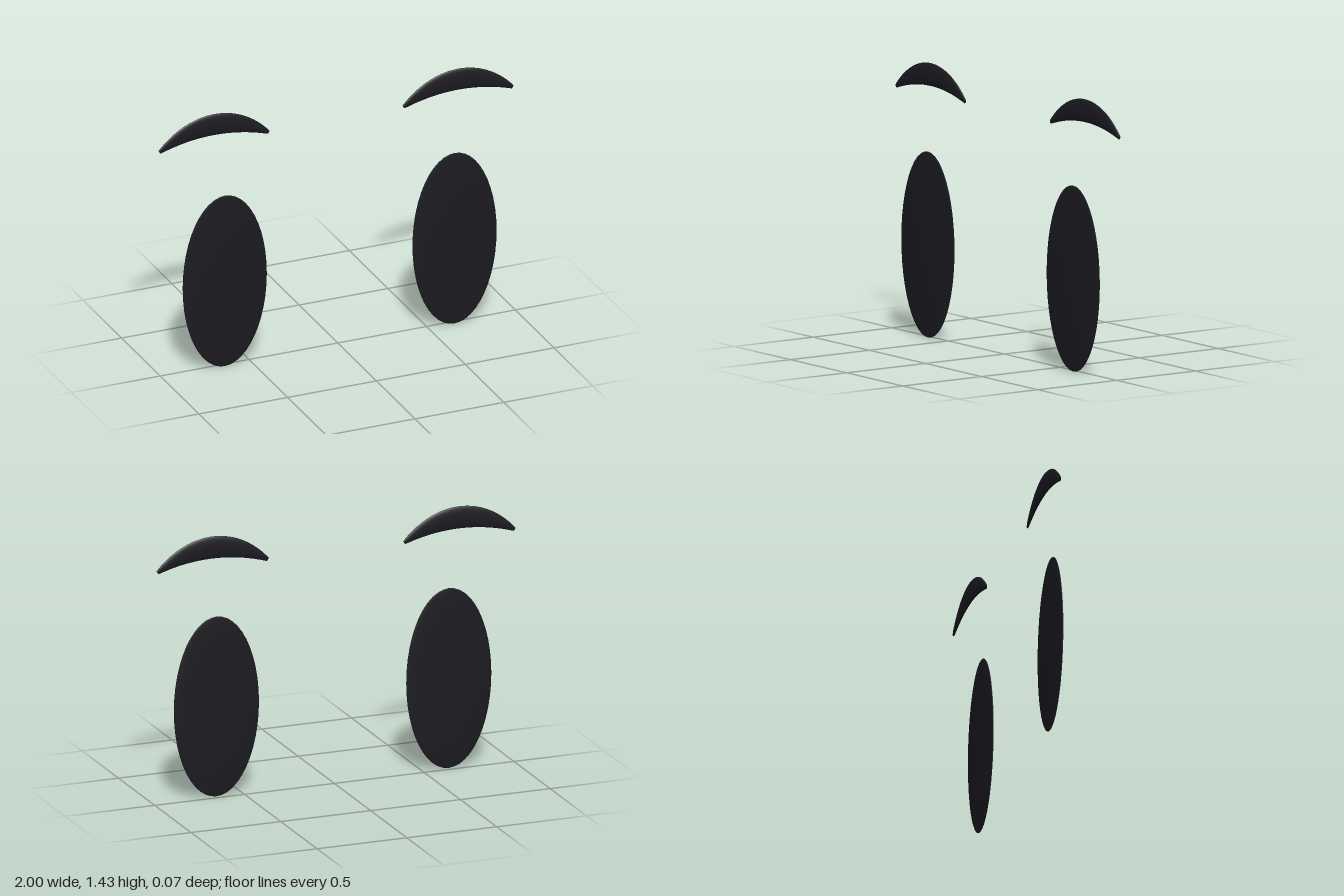
import * as THREE from 'three';

const material = new THREE.MeshStandardMaterial({ color: 0x1a1a20 });

// Flattened oval eye
function makeEye() {
  const geometry = new THREE.SphereGeometry(1, 32, 24);
  geometry.scale(0.237, 0.487, 0.011);
  return new THREE.Mesh(geometry, material);
}

// Arched brow: a cylinder bent along a parabola and tapered to blunt tips
function makeBrow() {
  const halfLength = 0.307, rise = 0.101;
  const geometry = new THREE.CylinderGeometry(1, 1, 2, 24, 32);
  const p = geometry.attributes.position;
  for (let i = 0; i < p.count; i++) {
    const t = p.getY(i);
    const bulge = 1 - t * t;
    const tilt = Math.atan2(-2 * rise * t, halfLength);
    const offset = -p.getX(i) * (0.01 + 0.05 * bulge);
    p.setXYZ(
      i,
      halfLength * t - offset * Math.sin(tilt),
      rise * bulge + offset * Math.cos(tilt),
      p.getZ(i) * (0.004 + 0.0075 * Math.sqrt(bulge))
    );
  }
  geometry.computeVertexNormals();
  return new THREE.Mesh(geometry, material);
}

export function createModel() {
  const model = new THREE.Group();
  model.name = 'eyesAndBrows';
  for (const [side, sign] of [['left', 1], ['right', -1]]) {
    const eye = makeEye();
    eye.name = side + 'Eye';
    eye.position.set(sign * 0.647, 0.488, 0.024);

    const brow = makeBrow();
    brow.name = side + 'Brow';
    brow.position.set(sign * 0.687, 1.267, -0.023);

    model.add(eye, brow);
  }
  return model;
}
